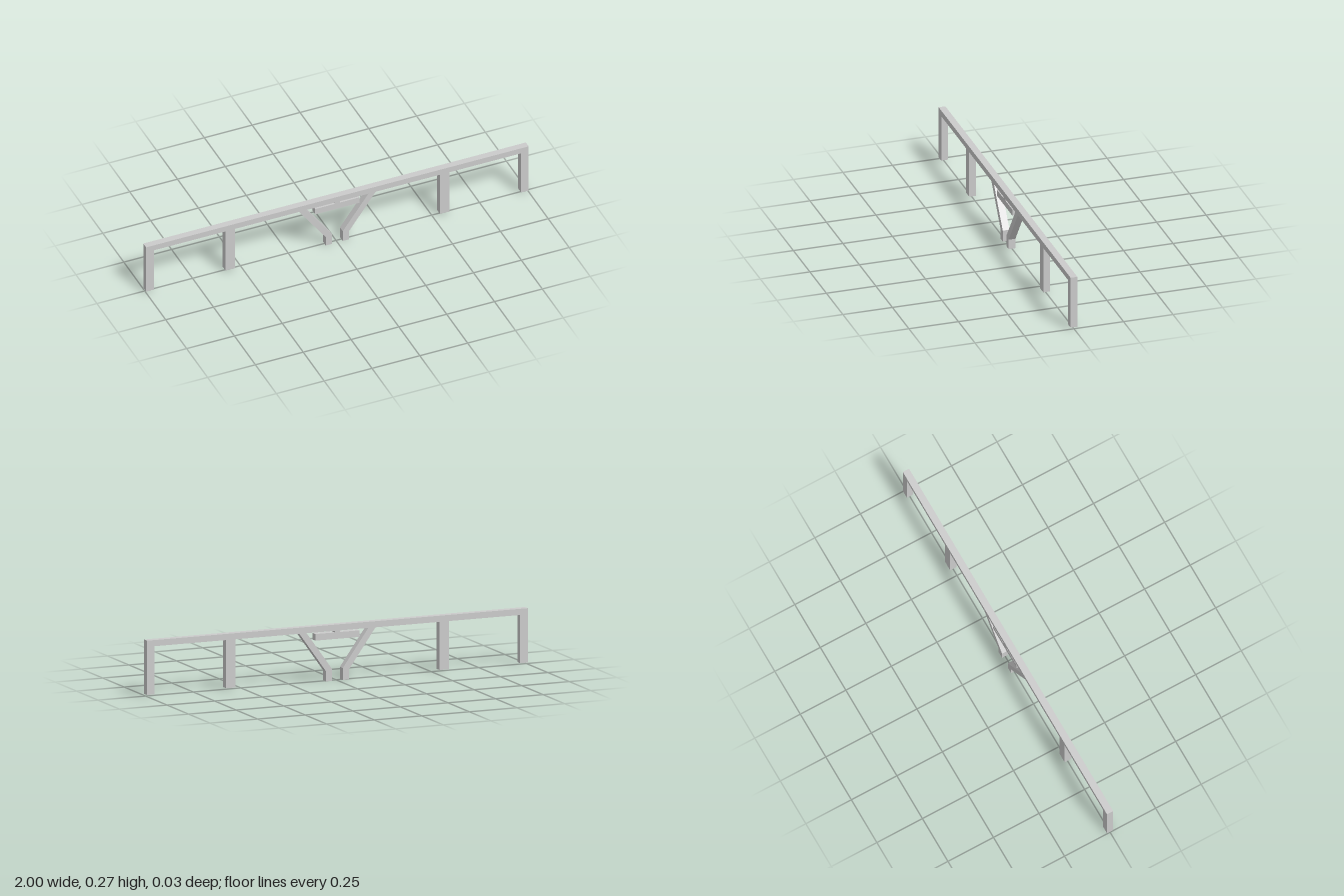
import * as THREE from 'three';

const DEPTH = 0.034;
const TOP = 0.273, UNDER = 0.243, LEG_BASE = 0.008;

export function createModel() {
  const group = new THREE.Group();
  const material = new THREE.MeshStandardMaterial({ color: 0xcccccc, flatShading: true });

  // Box given by its front-view extents
  function bar(name, x0, x1, y0, y1) {
    const mesh = new THREE.Mesh(new THREE.BoxGeometry(x1 - x0, y1 - y0, DEPTH), material);
    mesh.position.set((x0 + x1) / 2, (y0 + y1) / 2, 0);
    mesh.name = name;
    group.add(mesh);
  }

  // Long top beam
  bar('topBeam', -1, 1, UNDER, TOP);

  // Plate hung under the beam by a short neck
  bar('hangingPlate', -0.116, 0.116, 0.203, 0.235);
  bar('plateNeck', -0.014, 0.014, 0.235, UNDER);

  for (const [side, s] of [['left', 1], ['right', -1]]) {
    // Straight legs, mirrored
    const leg = (name, a, b) => bar(name, Math.min(s * a, s * b), Math.max(s * a, s * b), LEG_BASE, UNDER);
    leg(side + 'EndLeg', 0.96, 1);
    leg(side + 'MiddleLeg', 0.536, 0.585);

    // Slanted brace with an upright foot
    const outline = [[0.028, 0], [0.061, 0], [0.061, 0.05], [0.2, UNDER], [0.162, UNDER], [0.028, 0.058]];
    const shape = new THREE.Shape(outline.map(([x, y]) => new THREE.Vector2(s * x, y)));
    const geometry = new THREE.ExtrudeGeometry(shape, { depth: DEPTH, bevelEnabled: false });
    geometry.translate(0, 0, -DEPTH / 2);
    const brace = new THREE.Mesh(geometry, material);
    brace.name = side + 'Brace';
    group.add(brace);
  }

  return group;
}
